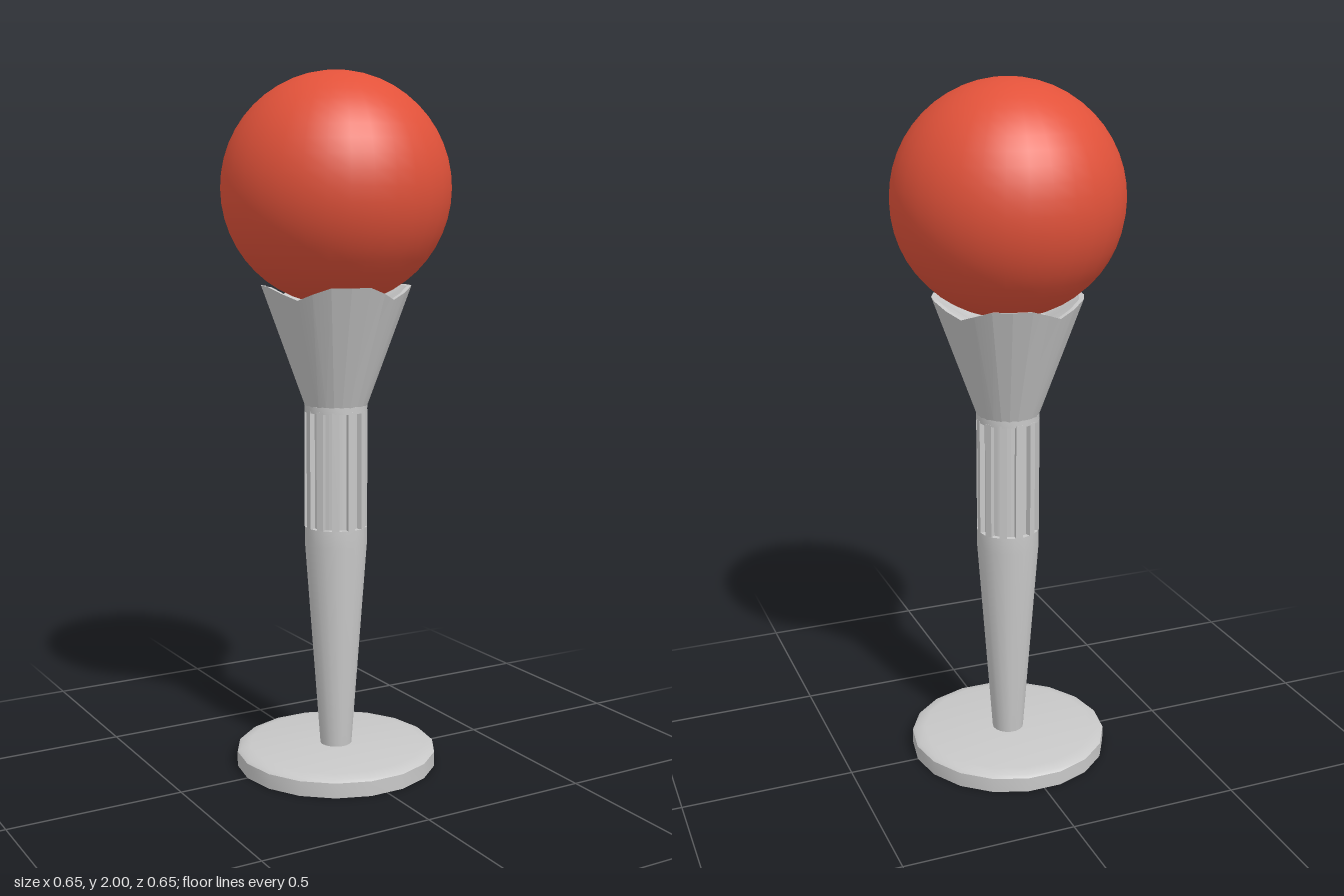
import * as THREE from 'three';
import { toCreasedNormals } from 'three/addons/utils/BufferGeometryUtils.js';

export function createModel() {
  const model = new THREE.Group();
  const grey = new THREE.MeshStandardMaterial({ color: 0xc8c8c8, side: THREE.DoubleSide });
  grey.name = 'light grey';
  const red = new THREE.MeshStandardMaterial({ color: 0xe2523a });
  red.name = 'red';

  const add = (name, geometry, material) => {
    const mesh = new THREE.Mesh(geometry, material);
    mesh.name = name;
    model.add(mesh);
    return mesh;
  };
  const SIDES = 18;
  const turned = (name, profile) => {
    const points = profile.map(([r, y]) => new THREE.Vector2(r, y));
    const geometry = new THREE.LatheGeometry(points, SIDES, Math.PI / 2);
    add(name, toCreasedNormals(geometry, 0.45), grey);
  };

  // Round foot with a softened upper edge
  turned('base', [[0, 0], [0.293, 0], [0.293, 0.043], [0.283, 0.05], [0.255, 0.056], [0, 0.056]]);

  // Tapered stem with a short straight collar
  turned('stem', [[0.046, 0.05], [0.091, 0.66], [0.091, 0.71], [0, 0.71]]);

  // Slotted grip: a toothed ring section pulled upwards
  const COUNT = 12, step = Math.PI * 2 / COUNT, halfBar = 0.115;
  const grip = new THREE.Shape();
  for (let i = 0; i < COUNT; i++) {
    const a = i * step;
    const corners = [
      [0.075, a - halfBar], [0.091, a - halfBar], [0.091, a + halfBar],
      [0.075, a + halfBar], [0.075, a + step / 2],
    ];
    corners.forEach(([r, t], k) => {
      const x = r * Math.cos(t), y = r * Math.sin(t);
      if (i === 0 && k === 0) grip.moveTo(x, y); else grip.lineTo(x, y);
    });
  }
  grip.closePath();
  const gripGeometry = new THREE.ExtrudeGeometry(grip, { depth: 0.34, bevelEnabled: false });
  gripGeometry.rotateX(-Math.PI / 2);
  add('slottedGrip', gripGeometry, grey).position.y = 0.71;

  // Band above the slots
  turned('gripBand', [[0, 1.045], [0.091, 1.045], [0.091, 1.065], [0, 1.065]]);

  // Flared cup: rounded-square rim with four shallow dips, and a hollow top
  const SEG = 24, dipAngle = THREE.MathUtils.degToRad(27);
  const rings = [
    { r: 0.09, y: 1.063, inset: 0, drop: 0 },
    { r: 0.214, y: 1.405, inset: 0.022, drop: 0.036 },
    { r: 0.2, y: 1.403, inset: 0.022, drop: 0.036 },
    { r: 0.11, y: 1.345, inset: 0, drop: 0 },
    { r: 0, y: 1.335, inset: 0, drop: 0 },
  ];
  const positions = [], index = [];
  rings.forEach((ring, j) => {
    for (let i = 0; i < SEG; i++) {
      const a = dipAngle + i / SEG * Math.PI * 2;
      const dip = Math.max(0, Math.cos(4 * (a - dipAngle)));
      const r = ring.r - ring.inset * dip;
      positions.push(r * Math.sin(a), ring.y - ring.drop * dip, r * Math.cos(a));
      if (j === 0) continue;
      const n = (i + 1) % SEG, low = (j - 1) * SEG, high = j * SEG;
      index.push(low + i, low + n, high + n, low + i, high + n, high + i);
    }
  });
  const cup = new THREE.BufferGeometry();
  cup.setAttribute('position', new THREE.Float32BufferAttribute(positions, 3));
  cup.setIndex(index);
  add('cup', toCreasedNormals(cup, 0.2), grey);

  // Ball resting in the cup
  add('ball', new THREE.SphereGeometry(0.325, 32, 24), red).position.y = 1.675;

  return model;
}
